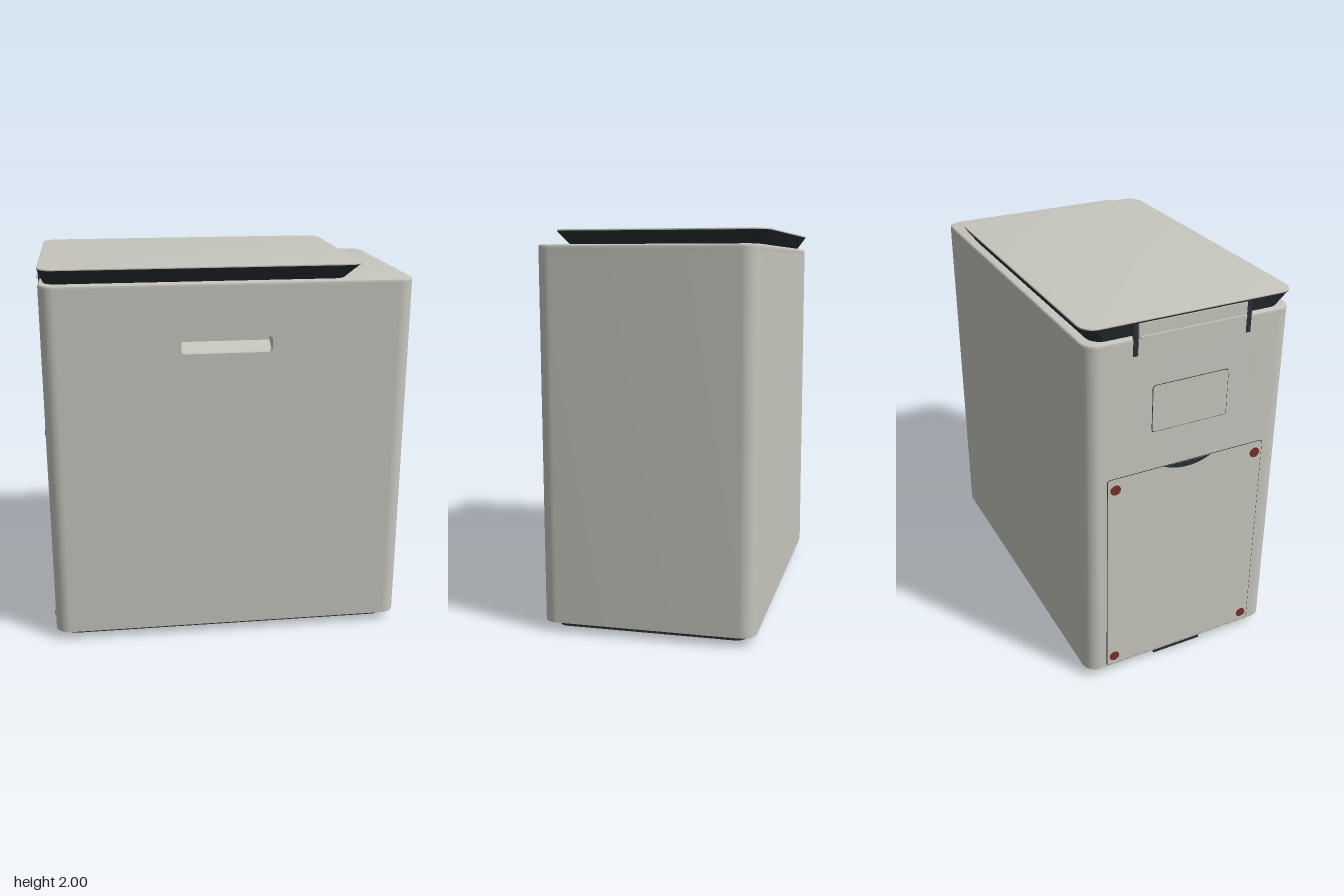
import * as THREE from 'three';
import { toCreasedNormals } from 'three/addons/utils/BufferGeometryUtils.js';

const shell = new THREE.MeshStandardMaterial({ color: 0xc6c6be, side: THREE.DoubleSide });
const dark = new THREE.MeshStandardMaterial({ color: 0x2b3134, side: THREE.DoubleSide });
const rust = new THREE.MeshStandardMaterial({ color: 0x7a3028 });

const X0 = -0.93, X1 = 0.94, Z = 0.54, R = 0.075;

// Rounded rectangle as a Shape or Path
function roundRect(x0, y0, x1, y1, r, Type = THREE.Shape) {
  const s = new Type(), h = Math.PI / 2;
  s.moveTo(x0 + r, y0);
  s.absarc(x1 - r, y0 + r, r, -h, 0);
  s.absarc(x1 - r, y1 - r, r, 0, h);
  s.absarc(x0 + r, y1 - r, r, h, 2 * h);
  s.absarc(x0 + r, y0 + r, r, 2 * h, 3 * h);
  s.closePath();
  return s;
}

function extrude(shape, depth, bevel = 0) {
  return new THREE.ExtrudeGeometry(shape, {
    depth: depth - 2 * bevel, curveSegments: 10, bevelEnabled: bevel > 0,
    bevelSize: bevel, bevelThickness: bevel, bevelOffset: -bevel, bevelSegments: 3,
  }).translate(0, 0, bevel);
}

// Plan shape (x, -z) raised from y0 to y1
function raise(shape, y0, y1, bevel = 0) {
  return extrude(shape, y1 - y0, bevel).rotateX(-Math.PI / 2).translate(0, y0, 0);
}

// Shape drawn as (z, y), extruded towards -x starting at x
function sideways(shape, x, depth) {
  return extrude(shape, depth).rotateY(-Math.PI / 2).translate(x, 0, 0);
}

function box(x0, x1, y0, y1, z0, z1) {
  return new THREE.BoxGeometry(x1 - x0, y1 - y0, z1 - z0)
    .translate((x0 + x1) / 2, (y0 + y1) / 2, (z0 + z1) / 2);
}

// Tapered skirt: moves vertices of a raised slab inwards towards its bottom
function taper(geo, yLow, yHigh, cx, sx, sz) {
  const p = geo.attributes.position;
  for (let i = 0; i < p.count; i++) {
    const t = (yHigh - p.getY(i)) / (yHigh - yLow);
    p.setX(i, cx + (p.getX(i) - cx) * (1 + (sx - 1) * t));
    p.setZ(i, p.getZ(i) * (1 + (sz - 1) * t));
  }
  return geo;
}

export function createModel() {
  const group = new THREE.Group();
  const add = (name, geo, mat) => {
    const mesh = new THREE.Mesh(toCreasedNormals(geo, 0.45), mat);
    mesh.name = name;
    group.add(mesh);
    return mesh;
  };

  // Side and back walls, bent round the four corners
  const h = Math.PI / 2, T = 0.03, ri = R - T;
  const wall = new THREE.Shape();
  wall.moveTo(X1 - R, -Z);
  wall.absarc(X1 - R, -Z + R, R, -h, 0);
  wall.absarc(X1 - R, Z - R, R, 0, h);
  wall.absarc(X0 + R, Z - R, R, h, 2 * h);
  wall.absarc(X0 + R, -Z + R, R, 2 * h, 3 * h);
  wall.lineTo(X0 + R, -Z + T);
  wall.absarc(X0 + R, -Z + R, ri, 3 * h, 2 * h, true);
  wall.absarc(X0 + R, Z - R, ri, 2 * h, h, true);
  wall.absarc(X1 - R, Z - R, ri, h, 0, true);
  wall.absarc(X1 - R, -Z + R, ri, 0, -h, true);
  wall.closePath();
  add('bodyWalls', raise(wall, 0.05, 1.9), shell);

  // Front wall with the grip opening
  const front = new THREE.Shape([
    [X0 + R, 0.05], [X1 - R, 0.05], [X1 - R, 1.9], [X0 + R, 1.9],
  ].map(([x, y]) => new THREE.Vector2(x, y)));
  front.holes.push(roundRect(-0.24, 1.565, 0.22, 1.648, 0.022, THREE.Path));
  add('frontWall', extrude(front, T).translate(0, 0, Z - T), shell);

  // Grip pocket with a sloping floor and closed ends
  const pocket = new THREE.Shape([
    [0.51, 1.55], [0.51, 1.565], [0.44, 1.605], [0.44, 1.648],
    [0.51, 1.648], [0.51, 1.665], [0.42, 1.665], [0.42, 1.55],
  ].map(([z, y]) => new THREE.Vector2(z, y)));
  add('gripPocket', sideways(pocket, 0.23, 0.48), shell);
  for (const x of [-0.26, 0.22]) add('gripPocketEnd', box(x, x + 0.02, 1.55, 1.665, 0.42, 0.51), shell);

  // Body top with softened edge
  add('bodyTop', raise(roundRect(X0, -Z, X1, Z, R), 1.88, 1.92, 0.012), shell);

  // Recessed underside, base plate and feet
  add('underside', raise(roundRect(X0 + 0.025, -Z + 0.025, X1 - 0.025, Z - 0.025, 0.05), 0.06, 0.08), dark);
  add('basePlate', raise(roundRect(-0.87, -0.48, 0.87, 0.48, 0.05), 0.01, 0.065), dark);
  for (const x of [-0.78, 0, 0.78]) for (const z of [-0.39, 0.39]) {
    add('foot', new THREE.CylinderGeometry(0.05, 0.05, 0.012, 24).translate(x, 0.006, z), dark);
  }

  // Pedal with its two lever arms
  add('pedal', box(-0.91, -0.86, 0.01, 0.05, -0.14, 0.14), dark);
  for (const z of [-0.1, 0.1]) add('pedalArm', box(-0.88, -0.62, 0.004, 0.03, z - 0.012, z + 0.012), dark);

  // Lid: thin top over a dark tapered skirt
  const lid = roundRect(X0, -0.545, 0.672, 0.545, R);
  add('lidTop', raise(lid, 1.991, 2, 0.003), shell);
  add('lidSkirt', taper(raise(lid, 1.915, 1.992), 1.915, 1.992, -0.5, 0.934, 0.9), dark);

  // Hinge at the back end of the lid
  add('hingeBlock', box(-0.925, -0.85, 1.945, 1.992, -0.3, 0.3), dark);
  add('hingePlate', box(-0.934, -0.924, 1.83, 1.985, -0.28, 0.28), shell);
  add('hingeLip', box(-0.944, -0.93, 1.915, 1.925, -0.275, 0.275), shell);
  for (const z of [-0.295, 0.295]) add('hingeSlot', box(-0.932, -0.92, 1.83, 1.985, z - 0.012, z + 0.012), dark);

  // Service panel and small hatch on the end wall, each with a fine dark seam
  const panels = [
    ['servicePanel', -0.43, 0.06, 0.43, 1.21],
    ['hatch', -0.2, 1.42, 0.2, 1.66],
  ];
  for (const [name, z0, y0, z1, y1] of panels) {
    add(name + 'Seam', sideways(roundRect(z0 - 0.003, y0 - 0.003, z1 + 0.003, y1 + 0.003, 0.015), X0 + 0.002, 0.003), dark);
    add(name, sideways(roundRect(z0, y0, z1, y1, 0.014), X0 + 0.002, 0.005), shell);
  }

  // Finger notch at the top of the service panel
  const notch = new THREE.Shape();
  notch.moveTo(-0.13, 1.21);
  notch.quadraticCurveTo(0, 1.15, 0.13, 1.21);
  notch.closePath();
  add('fingerNotch', sideways(notch, X0, 0.0045), dark);

  // Panel screws
  for (const z of [-0.39, 0.39]) for (const y of [0.11, 1.15]) {
    add('screw', new THREE.CylinderGeometry(0.027, 0.027, 0.008, 20)
      .rotateZ(Math.PI / 2).translate(X0 - 0.002, y, z), rust);
  }
  return group;
}
